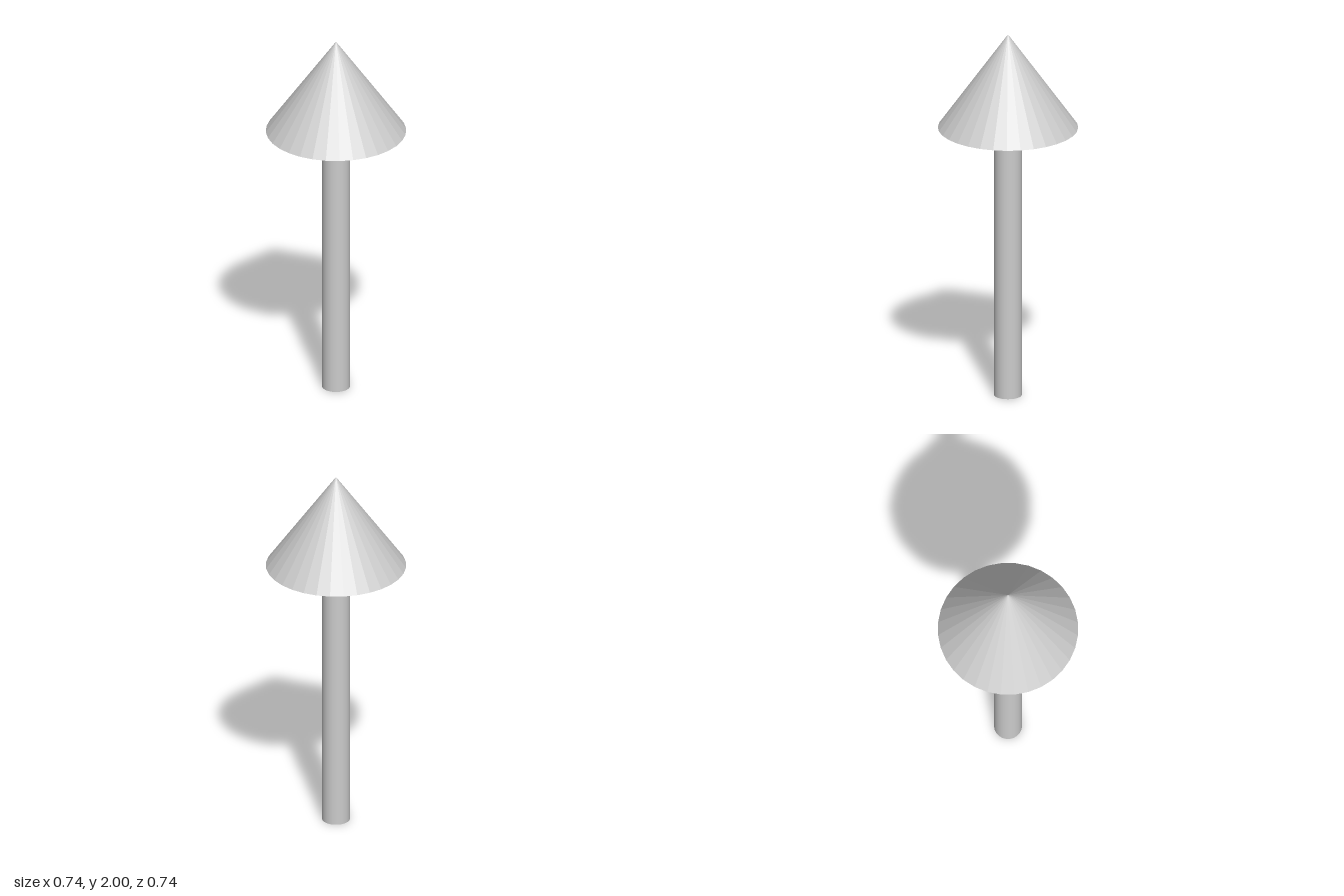
import * as THREE from 'three';

const SIDES = 32;
const HEIGHT = 2;
const HEAD_BASE = 1.486;

export function createModel() {
  const group = new THREE.Group();
  group.name = 'arrow';

  const add = (name, geometry, y, flatShading) => {
    const material = new THREE.MeshStandardMaterial({ color: 0xcccccc, flatShading });
    const mesh = new THREE.Mesh(geometry, material);
    mesh.name = name;
    mesh.position.y = y;
    group.add(mesh);
  };

  // Round shaft standing on the ground
  add('shaft', new THREE.CylinderGeometry(0.073, 0.073, HEAD_BASE, SIDES), HEAD_BASE / 2, false);

  // Faceted conical head with a closed underside and a very small blunt tip
  const headHeight = HEIGHT - HEAD_BASE;
  add('head', new THREE.CylinderGeometry(0.002, 0.368, headHeight, SIDES), HEAD_BASE + headHeight / 2, true);

  return group;
}
